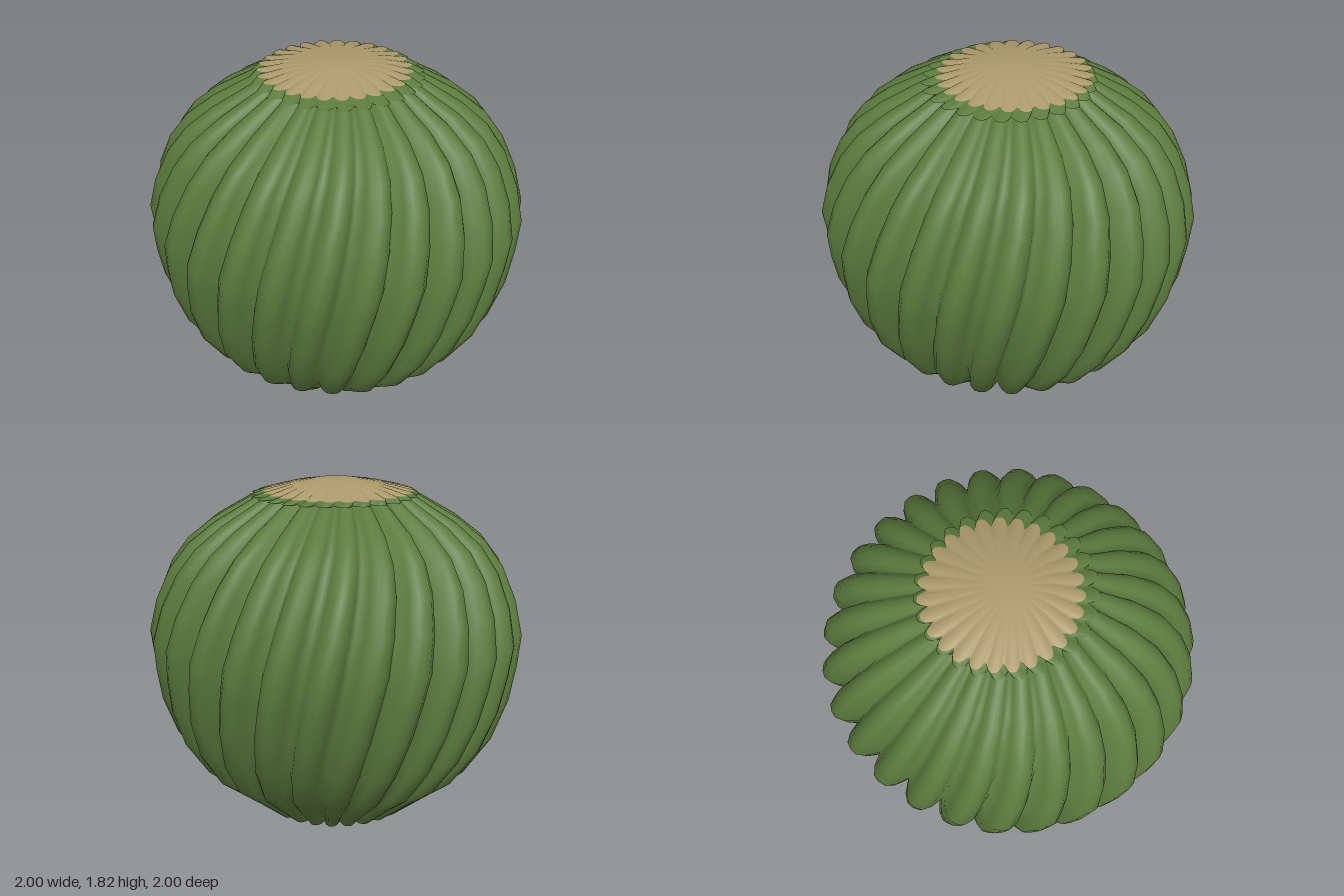
import * as THREE from 'three';

const RIBS = 27;
const LOBE = [0, 0.62, 0.94, 1, 0.94, 0.62]; // valley to crest to valley
const N = RIBS * LOBE.length;
const TWIST = THREE.MathUtils.degToRad(13.5); // turn per unit of height
const PHASE = THREE.MathUtils.degToRad(-3) - Math.PI / RIBS;

// Rings from the bottom up: crest radius, height, groove depth, centre x, centre z
const BODY_RINGS = [
  [0.405, 0, 0.06, 0, 0],
  [0.59, 0.15, 0.075, 0, 0],
  [0.745, 0.27, 0.09, 0, 0],
  [0.88, 0.47, 0.105, 0, 0],
  [0.955, 0.68, 0.11, 0, 0],
  [0.985, 0.86, 0.11, 0, 0],
  [1.0, 1.02, 0.11, 0, 0],
  [0.957, 1.2, 0.11, 0, 0],
  [0.882, 1.37, 0.105, 0, 0],
  [0.785, 1.5, 0.095, 0, 0],
  [0.645, 1.61, 0.08, 0, 0],
  [0.43, 1.733, 0.06, 0, 0],
];
const CROWN_RINGS = [
  [0.445, 1.732, 0.055, 0.01, 0], // green lip lying on the body
  [0.4, 1.755, 0.05, 0.015, -0.03], // edge of the pale part
  [0.25, 1.79, 0.012, 0.01, -0.015],
  [0.12, 1.808, 0.004, 0, 0],
];

function ringPoint([radius, y, depth, cx, cz], j) {
  const a = (j / N) * Math.PI * 2 + PHASE + TWIST * (y - 0.95);
  const r = radius - depth * (1 - LOBE[j % LOBE.length]);
  return [cx + r * Math.sin(a), y, cz + r * Math.cos(a)];
}

// Skins a stack of ribbed rings; an apex height closes the top
function skin(rings, apexY) {
  const positions = [];
  const index = [];
  for (const ring of rings) {
    for (let j = 0; j < N; j++) positions.push(...ringPoint(ring, j));
  }
  for (let i = 0; i < rings.length - 1; i++) {
    for (let j = 0; j < N; j++) {
      const a = i * N + j, b = i * N + ((j + 1) % N);
      index.push(a, b, b + N, a, b + N, a + N);
    }
  }
  if (apexY !== undefined) {
    const last = (rings.length - 1) * N;
    positions.push(0, apexY, 0);
    for (let j = 0; j < N; j++) index.push(last + j, last + ((j + 1) % N), last + N);
  }
  const g = new THREE.BufferGeometry();
  g.setAttribute('position', new THREE.Float32BufferAttribute(positions, 3));
  g.setIndex(index);
  g.computeVertexNormals();
  return g;
}

export function createModel() {
  const green = new THREE.MeshStandardMaterial({ color: 0x5c7b3e, side: THREE.DoubleSide });
  green.name = 'cactus green';
  const tan = new THREE.MeshStandardMaterial({ color: 0xac9a6c, side: THREE.DoubleSide });
  tan.name = 'crown tan';

  const model = new THREE.Group();
  model.name = 'barrelCactus';

  // Hollow twisted body, open underneath
  const body = new THREE.Mesh(skin(BODY_RINGS), green);
  body.name = 'ribbedBody';
  model.add(body);

  // Woolly crown with a green lip
  const crownGeometry = skin(CROWN_RINGS, 1.815);
  const lipCount = N * 6;
  crownGeometry.addGroup(0, lipCount, 0);
  crownGeometry.addGroup(lipCount, crownGeometry.index.count - lipCount, 1);
  const crown = new THREE.Mesh(crownGeometry, [green, tan]);
  crown.name = 'crown';
  model.add(crown);

  return model;
}
